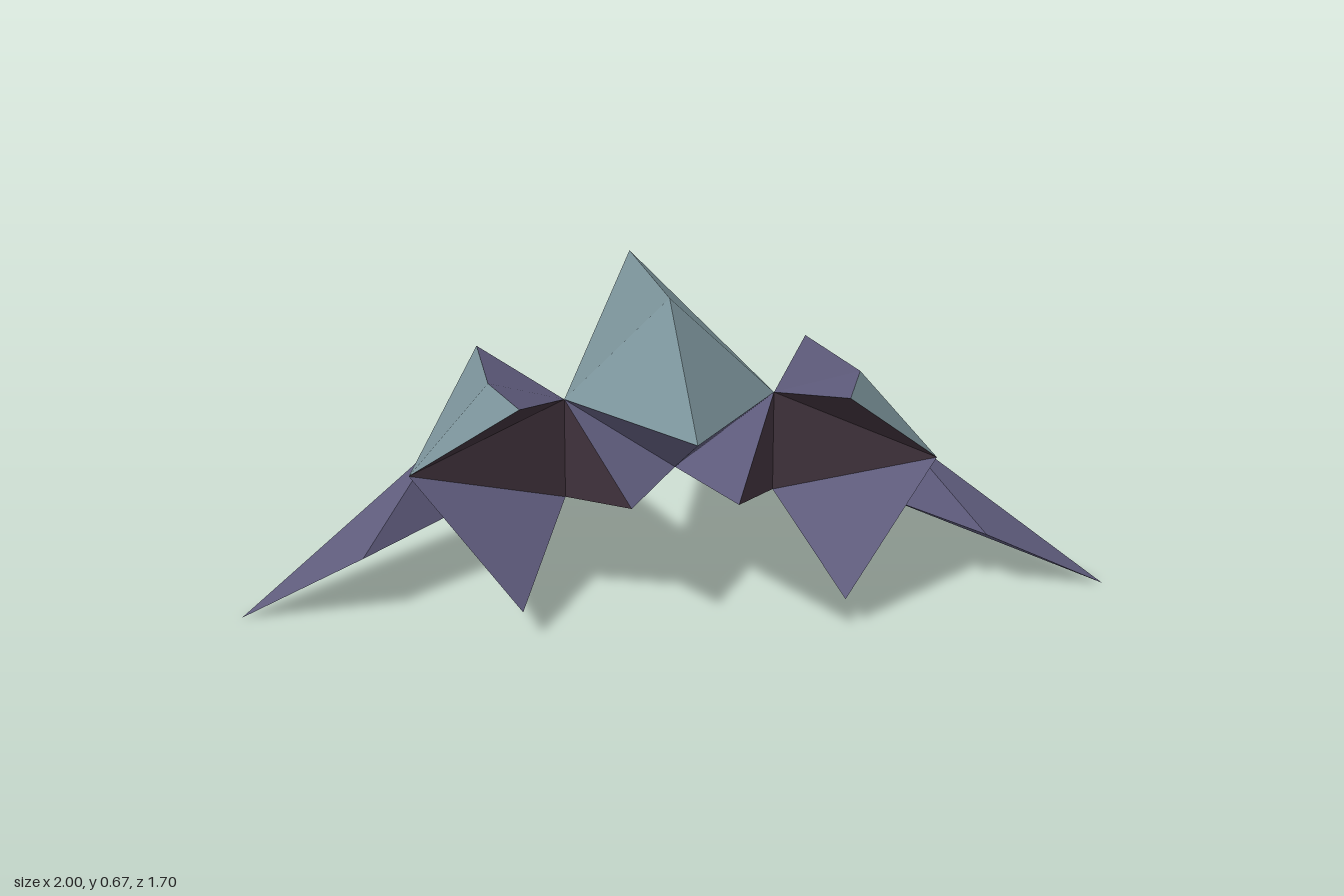
import * as THREE from 'three';

const paint = (name, color) => {
  const m = new THREE.MeshStandardMaterial({ color, flatShading: true });
  m.name = name;
  return m;
};

// Builds one mesh from named corner points and triangles, each turned away from the core point.
function facets(name, points, core, triangles, material, side) {
  const c = new THREE.Vector3(core[0] * side, core[1], core[2]);
  const pos = [];
  for (const tri of triangles) {
    const [a, b, d] = tri.split(' ').map(k => {
      const [x, y, z] = points[k];
      return new THREE.Vector3(x * side, y, z);
    });
    const n = b.clone().sub(a).cross(d.clone().sub(a));
    const ordered = n.dot(a.clone().sub(c)) >= 0 ? [a, b, d] : [a, d, b];
    for (const v of ordered) pos.push(v.x, v.y, v.z);
  }
  const g = new THREE.BufferGeometry();
  g.setAttribute('position', new THREE.Float32BufferAttribute(pos, 3));
  g.computeVertexNormals();
  const mesh = new THREE.Mesh(g, material);
  mesh.name = name;
  return mesh;
}

export function createModel() {
  const teal = paint('greyTeal', 0x7b939a);
  const purple = paint('duskPurple', 0x5d5a7a);
  const brown = paint('darkBrown', 0x40323c);
  const model = new THREE.Group();
  model.name = 'spaceship';

  // Central hull: long faceted dart, one half per side
  const hull = {
    nose: [0, 0.55, 0.85], top: [0, 0.67, 0.24], tail: [0, 0.43, -0.85],
    keel: [0, 0.305, 0.37], edge: [0.245, 0.43, 0.24],
  };
  // Strut that joins the hull to a pod
  const strut = {
    front: [0.12, 0.305, 0.605], keel: [0, 0.305, 0.37], rear: [0.29, 0.305, -0.01],
    upper: [0.245, 0.43, 0.24], lower: [0.245, 0.185, 0.24],
  };
  // Side pod: two forward fangs with a hollow mouth
  const pod = {
    tail: [0.425, 0.305, -0.485], outer: [0.61, 0.305, 0.37],
    fang: [0.365, 0.55, 0.605], ridge: [0.425, 0.525, 0.37], inner: [0.245, 0.43, 0.24],
    lowFang: [0.365, 0.063, 0.605], lowRidge: [0.425, 0.085, 0.37], lowInner: [0.245, 0.185, 0.24],
  };
  // Drooping outer wing
  const wing = {
    root: [0.55, 0.303, 0.195], tip: [1, 0, 0.44], front: [0.72, 0.135, 0.44],
    rear: [0.487, 0.24, -0.05], under: [0.495, 0.163, 0.245],
  };

  const parts = [
    ['hullTop', hull, [0, 0.45, 0.2], teal, ['nose top edge', 'top tail edge']],
    ['hullUnderside', hull, [0, 0.45, 0.2], purple, ['nose keel edge', 'keel tail edge']],
    ['strut', strut, [0.18, 0.305, 0.29], purple,
      ['upper keel front', 'upper keel rear', 'lower keel front', 'lower keel rear', 'upper lower rear']],
    ['strutFace', strut, [0.18, 0.305, 0.29], brown, ['front upper lower']],
    ['podShell', pod, [0.4, 0.305, 0], teal, ['outer fang ridge', 'outer ridge tail']],
    ['podBody', pod, [0.4, 0.305, 0], purple,
      ['ridge fang inner', 'ridge inner tail', 'tail inner lowInner', 'lowRidge lowFang lowInner',
        'lowRidge lowInner tail', 'outer lowFang lowRidge', 'outer lowRidge tail', 'outer lowInner lowFang']],
    ['podMouth', pod, [0.4, 0.305, 0], brown, ['outer fang inner', 'outer inner lowInner']],
    ['wingTop', wing, [0.64, 0.17, 0.25], teal, ['root tip rear']],
    ['wingBody', wing, [0.64, 0.17, 0.25], purple,
      ['root front tip', 'root under front', 'under tip front', 'under rear tip', 'root rear under']],
  ];

  for (const [label, side] of [['left', 1], ['right', -1]]) {
    const half = new THREE.Group();
    half.name = label + 'Half';
    for (const [name, points, core, material, triangles] of parts)
      half.add(facets(name, points, core, triangles, material, side));
    model.add(half);
  }
  return model;
}
